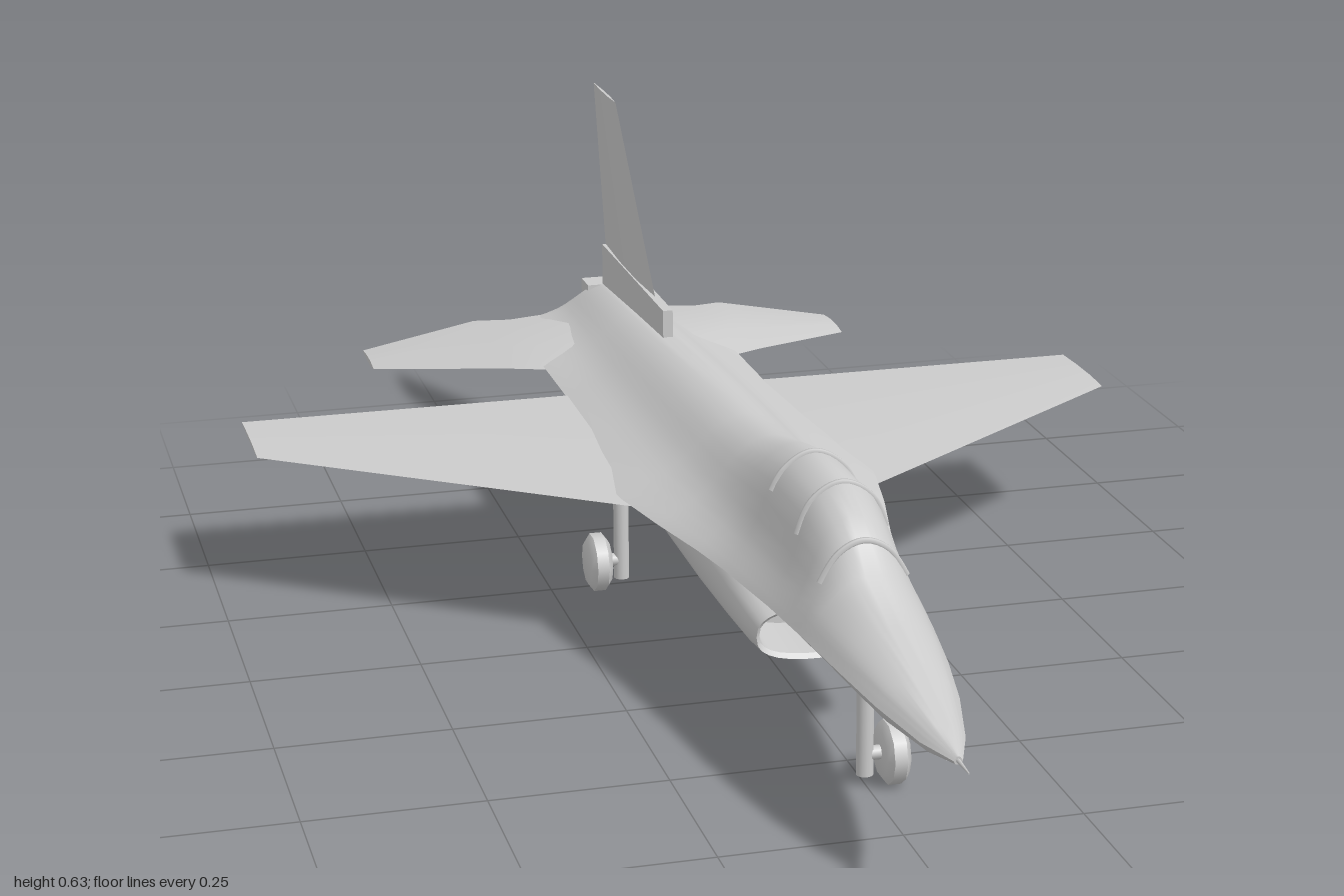
import * as THREE from 'three';
import { toCreasedNormals } from 'three/addons/utils/BufferGeometryUtils.js';

const V = (x, y, z) => new THREE.Vector3(x, y, z);
const grey = new THREE.MeshStandardMaterial({ color: 0xcccccc, side: THREE.DoubleSide });

// Skin a list of equal-length closed rings and cap both ends
function loft(rings, crease = 0.6) {
  const n = rings[0].length, last = rings.length - 1;
  const pos = rings.flat().flatMap((p) => [p.x, p.y, p.z]);
  const index = [];
  for (let i = 0; i < last; i++) for (let j = 0; j < n; j++) {
    const k = (j + 1) % n, a = i * n + j, b = i * n + k, c = a + n, d = b + n;
    index.push(a, b, c, b, d, c);
  }
  for (const i of [0, last]) {
    const mid = rings[i].reduce((s, p) => s.add(p), V(0, 0, 0)).divideScalar(n);
    const m = pos.length / 3;
    pos.push(mid.x, mid.y, mid.z);
    for (let j = 0; j < n; j++) {
      const a = i * n + j, b = i * n + (j + 1) % n;
      index.push(m, ...(i ? [a, b] : [b, a]));
    }
  }
  const g = new THREE.BufferGeometry();
  g.setAttribute('position', new THREE.Float32BufferAttribute(pos, 3));
  g.setIndex(index);
  return toCreasedNormals(g, crease);
}

// Fuselage stations: z, top y, top half-width, shoulder x, y, chine x, y, bottom y
const stations = [
  [0.96, 0.206, 0.002, 0.004, 0.203, 0.006, 0.2, 0.195],
  [0.9, 0.224, 0.01, 0.022, 0.214, 0.03, 0.203, 0.186],
  [0.8, 0.25, 0.018, 0.042, 0.233, 0.056, 0.213, 0.181],
  [0.7, 0.278, 0.025, 0.057, 0.25, 0.074, 0.222, 0.185],
  [0.6, 0.312, 0.032, 0.068, 0.265, 0.088, 0.228, 0.19],
  [0.57, 0.345, 0.034, 0.071, 0.272, 0.092, 0.229, 0.191],
  [0.53, 0.372, 0.038, 0.074, 0.276, 0.097, 0.23, 0.193],
  [0.47, 0.397, 0.043, 0.078, 0.28, 0.104, 0.231, 0.196],
  [0.32, 0.397, 0.043, 0.088, 0.282, 0.127, 0.233, 0.206],
  [0.24, 0.382, 0.042, 0.094, 0.28, 0.143, 0.234, 0.214],
  [0.12, 0.355, 0.042, 0.1, 0.278, 0.172, 0.235, 0.222],
  [-0.02, 0.344, 0.042, 0.105, 0.276, 0.2, 0.235, 0.226],
  [-0.2, 0.339, 0.042, 0.105, 0.274, 0.19, 0.235, 0.227],
  [-0.5, 0.326, 0.038, 0.1, 0.268, 0.165, 0.235, 0.226],
  [-0.68, 0.316, 0.034, 0.095, 0.262, 0.165, 0.234, 0.222],
  [-0.93, 0.3, 0.032, 0.085, 0.255, 0.165, 0.23, 0.212],
  [-0.96, 0.285, 0.03, 0.08, 0.25, 0.16, 0.228, 0.212],
];

function upperCurve([z, yt, wt, xs, ys, xc, yc]) {
  const side = [[wt, yt - 0.2 * (yt - ys)], [xs, ys], [xc, yc]];
  return new THREE.CatmullRomCurve3([
    ...side.map(([x, y]) => V(-x, y, z)).reverse(), V(0, yt, z), ...side.map(([x, y]) => V(x, y, z)),
  ]);
}

function fuselageRing(s) {
  const [z, , , , , xc, yc, yb] = s;
  const y = yb + 0.2 * (yc - yb);
  const lower = new THREE.CatmullRomCurve3([V(xc, yc, z), V(0.65 * xc, y, z), V(0, yb, z), V(-0.65 * xc, y, z), V(-xc, yc, z)]);
  return [...upperCurve(s).getPoints(24).slice(0, -1), ...lower.getPoints(16).slice(0, -1)];
}

function stationAt(z) {
  const i = stations.findIndex((s) => s[0] <= z);
  const a = stations[i - 1], b = stations[i], t = (z - a[0]) / (b[0] - a[0]);
  return a.map((v, k) => v + (b[k] - v) * t);
}

// Rounded duct through rows of z, half-width, top y, bottom y
function duct(rows, power) {
  const f = (v) => Math.sign(v) * Math.abs(v) ** power;
  return loft(rows.map(([z, w, top, bottom]) => Array.from({ length: 28 }, (_, j) => {
    const a = (j / 28) * Math.PI * 2;
    return V(w * f(Math.sin(a)), (top + bottom) / 2 + ((top - bottom) / 2) * f(Math.cos(a)), z);
  })));
}

// Thin aerofoil panel through rows of span x, y, leading z, trailing z, thickness
function panel(rows, side = 1) {
  return loft(rows.map(([x, y, le, te, t]) => {
    const at = (k, h) => V(side * x, y + h * t, te + (le - te) * k);
    const ring = [at(0, 0.12), at(0.35, 0.45), at(0.7, 0.45), at(1, 0), at(0.7, -0.45), at(0.35, -0.45), at(0, -0.12)];
    return side > 0 ? ring : ring.reverse();
  }), 0.5);
}

export function createModel() {
  const model = new THREE.Group();
  const add = (name, geometry, parent = model) => {
    const mesh = new THREE.Mesh(geometry, grey);
    mesh.name = name;
    parent.add(mesh);
    return mesh;
  };

  add('fuselage', loft(stations.map(fuselageRing), 0.7));
  add('noseProbe', new THREE.CylinderGeometry(0.001, 0.004, 0.06, 8).rotateX(Math.PI / 2).translate(0, 0.2, 0.97));

  // Hollow-mouthed belly intake and exhaust nozzle
  add('bellyIntake', duct([
    [0.3, 0.085, 0.19, 0.135], [0.405, 0.098, 0.197, 0.13], [0.412, 0.104, 0.203, 0.124],
    [0.36, 0.108, 0.215, 0.118], [0.25, 0.11, 0.23, 0.111], [0.1, 0.11, 0.238, 0.105],
    [-0.1, 0.11, 0.24, 0.108], [-0.45, 0.102, 0.242, 0.122], [-0.76, 0.08, 0.242, 0.141],
  ], 0.75));
  add('exhaustNozzle', duct([
    [-0.7, 0.056, 0.245, 0.155], [-0.9, 0.054, 0.243, 0.156], [-0.945, 0.046, 0.24, 0.166], [-0.965, 0.034, 0.235, 0.18],
  ], 1));

  // Canopy hoops follow the fuselage skin
  [0.565, 0.465, 0.33].forEach((z, i) => {
    const pts = upperCurve(stationAt(z)).getPoints(40).filter((p) => Math.abs(p.x) < 0.064);
    add('canopyFrame' + (i + 1), new THREE.TubeGeometry(new THREE.CatmullRomCurve3(pts), 24, 0.005, 6));
  });

  // Wings and drooping tailplanes
  for (const [side, label] of [[1, 'left'], [-1, 'right']]) {
    add(label + 'Wing', panel([
      [0.12, 0.234, 0.08, -0.51, 0.016], [0.2, 0.234, 0.025, -0.51, 0.014], [0.685, 0.235, -0.33, -0.51, 0.006],
    ], side));
    add(label + 'Tailplane', panel([
      [0.08, 0.237, -0.6, -0.96, 0.05], [0.165, 0.232, -0.67, -0.96, 0.036],
      [0.22, 0.224, -0.718, -1, 0.026], [0.415, 0.188, -0.89, -1, 0.01],
    ], side));
  }

  // Upright fin on its fairing
  add('tailFin', panel([[0.3, 0, -0.52, -0.915, 0.012], [0.365, 0, -0.57, -0.92, 0.012], [0.635, 0, -0.84, -1, 0.005]]).rotateZ(Math.PI / 2));
  add('finFairing', new THREE.BoxGeometry(0.016, 0.085, 0.43).translate(0, 0.328, -0.705));
  add('tailBlock', new THREE.BoxGeometry(0.07, 0.05, 0.05).translate(0, 0.275, -0.94));

  // Landing gear: strut, axle and offset wheel
  for (const [name, x, z, dir] of [['noseGear', 0, 0.58, 1], ['leftGear', 0.14, -0.24, 1], ['rightGear', -0.14, -0.24, -1]]) {
    const gear = new THREE.Group();
    gear.name = name;
    gear.position.set(x, 0, z);
    model.add(gear);
    add('strut', new THREE.CylinderGeometry(0.012, 0.012, 0.215, 12).translate(0, 0.1275, 0), gear);
    add('axle', new THREE.CylinderGeometry(0.01, 0.01, 0.04, 10).rotateZ(Math.PI / 2).translate(dir * 0.02, 0.05, 0), gear);
    const tyre = [[0, -0.017], [0.034, -0.017], [0.045, -0.009], [0.045, 0.009], [0.034, 0.017], [0, 0.017]];
    const wheel = new THREE.LatheGeometry(tyre.map(([r, h]) => new THREE.Vector2(r, h)), 10);
    add('wheel', toCreasedNormals(wheel.rotateZ(Math.PI / 2), 0.7).translate(dir * 0.038, 0.049, 0), gear);
  }

  // Rest the wheels on the ground
  const floor = new THREE.Box3().setFromObject(model).min.y;
  model.children.forEach((c) => { c.position.y -= floor; });
  return model;
}
